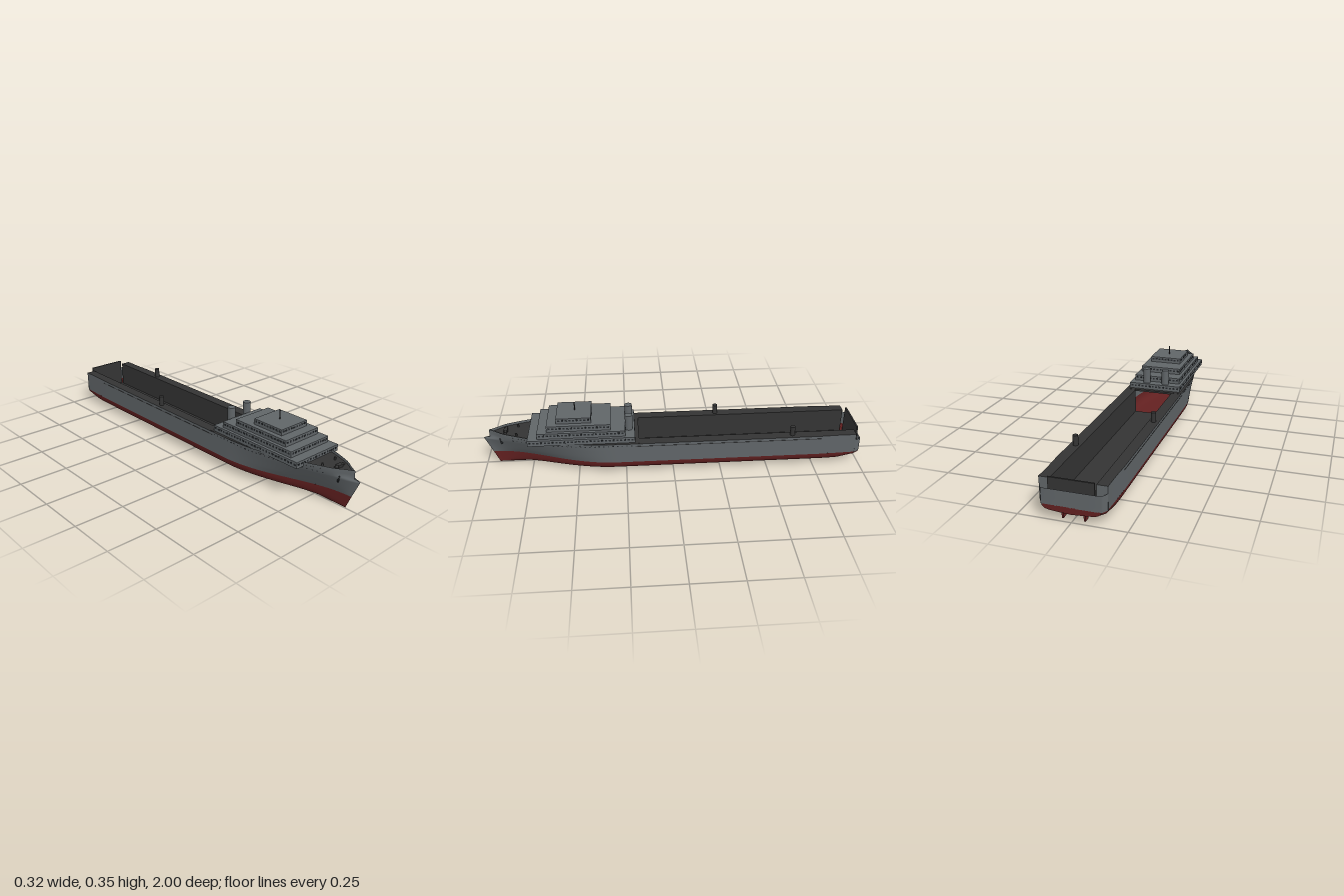
import * as THREE from 'three';
import { mergeGeometries } from 'three/addons/utils/BufferGeometryUtils.js';

const mat = (name, color, side = THREE.FrontSide) => {
  const m = new THREE.MeshStandardMaterial({ color, side });
  m.name = name;
  return m;
};
const smooth = (a, b, x) => THREE.MathUtils.smoothstep(x, a, b);
const lerp = THREE.MathUtils.lerp;

// Hull form: half breadths, sheer line and raked stem
const deckHalf = z => z < -0.78 ? 0.156 : z < 0.4 ? 0.16 : 0.16 * (1 - Math.pow((z - 0.4) / 0.6, 1.85));
const waterHalf = z => (z < -0.8 ? lerp(0.16, 0.152, (-0.8 - z) / 0.2) : 0.16) * (1 - smooth(0.3, 1, z));
const sheer = z => 0.18 + 0.025 * smooth(0.22, 0.92, z);
const stemShift = (y, z) => {
  const rake = y < 0.07 ? lerp(-0.07, -0.04, y / 0.07) : Math.min(0, lerp(-0.04, 0, (y - 0.07) / 0.09));
  return rake * smooth(0.5, 1, z) - (y > 0.162 ? 0.032 * smooth(0.87, 0.99, z) : 0);
};
const sideHalf = (z, y) => lerp(waterHalf(z), deckHalf(z), Math.pow(Math.min(1, (y - 0.07) / 0.115), 0.8));

// Grid surface through rows of points
function loft(rows) {
  const n = rows[0].length, pos = [], idx = [];
  rows.forEach(r => r.forEach(p => pos.push(...p)));
  for (let i = 0; i < rows.length - 1; i++) {
    for (let j = 0; j < n - 1; j++) {
      const a = i * n + j, b = a + n;
      idx.push(a, a + 1, b, b, a + 1, b + 1);
    }
  }
  const g = new THREE.BufferGeometry();
  g.setAttribute('position', new THREE.Float32BufferAttribute(pos, 3));
  g.setIndex(idx);
  g.computeVertexNormals();
  return g;
}
const range = (a, b, n) => Array.from({ length: n + 1 }, (_, i) => lerp(a, b, i / n));

export function createModel() {
  const ship = new THREE.Group();
  ship.name = 'dockShip';
  const grey = mat('hull grey', 0x606568, THREE.DoubleSide);
  const red = mat('bottom red', 0x622020, THREE.DoubleSide);
  const dark = mat('deck grey', 0x343434, THREE.DoubleSide);
  const house = mat('house grey', 0x606568);
  const glass = mat('window dark', 0x282b2e);

  const add = (name, geo, material, x = 0, y = 0, z = 0) => {
    const m = new THREE.Mesh(geo, material);
    m.name = name;
    m.position.set(x, y, z);
    ship.add(m);
    return m;
  };
  const box = (name, m, w, h, d, x, y, z) => add(name, new THREE.BoxGeometry(w, h, d), m, x, y, z);
  const tube = (name, m, r, y0, y1, x, z) =>
    add(name, new THREE.CylinderGeometry(r, r, y1 - y0, 20), m, x, (y0 + y1) / 2, z);

  // Red bottom: shallow V with rounded bilge, keel rising at the stern
  const section = range(-Math.PI / 2, Math.PI / 2, 28).map(a => {
    const f = Math.sin(a);
    return [f, 0.004 + 0.018 * Math.abs(f) + 0.048 * (1 - Math.sqrt(Math.max(0, 1 - f ** 8)))];
  });
  const bottomRow = z => section.map(([f, y]) => {
    const rise = 0.036 * smooth(0.86, 1, -z) * (1 - y / 0.07);
    const taper = z < -0.97 ? 1 - 0.12 * (-0.97 - z) / 0.03 : 1;
    return [f * waterHalf(z) * taper, y + rise, z + stemShift(y, z)];
  });
  const stations = [...range(-1, -0.85, 10), ...range(-0.8, 0.2, 10), ...range(0.23, 1, 34)];
  add('bottom', loft(stations.map(bottomRow)), red);
  add('transomBottom', loft([bottomRow(-1), bottomRow(-1).map(([x, , z]) => [x, 0.07, z])]), red);

  // Grey topsides with a small ledge at the stem
  const levels = [0, 0.15, 0.3, 0.45, 0.6, 0.667, 0.69, 0.85, 1];
  const sideStations = [...range(-0.97, 0.2, 12), ...range(0.23, 1, 40)];
  for (const s of [-1, 1]) {
    const side = s < 0 ? 'right' : 'left';
    add(side + 'Topside', loft(sideStations.map(z => levels.map(v => {
      const y = lerp(0.07, sheer(z), v);
      return [s * sideHalf(z, y), y, z + stemShift(y, z)];
    }))), grey);

    // Dock wall: top, inner face and stern end
    add(side + 'WallDeck', loft(range(-0.97, 0.2, 12).map(z =>
      [[s * 0.105, 0.18, z], [s * deckHalf(z), 0.18, z]])), dark);
    add(side + 'DockWall', loft([-0.97, 0.18].map(z =>
      [[s * 0.105, 0.045, z], [s * 0.105, 0.18, z]])), dark);
    add(side + 'WallEnd', loft([0.07, 0.18].map(y =>
      [[s * 0.105, y, -0.97], [s * 0.155, y, -0.97]])), grey);

    // Fender line along the side
    box(side + 'FenderLine', dark, 0.003, 0.002, 0.98, s * 0.16, 0.165, -0.29);

    // Anchor and rudder
    const anchor = new THREE.Group();
    anchor.name = side + 'Anchor';
    const shank = new THREE.Mesh(new THREE.BoxGeometry(0.004, 0.032, 0.006), glass);
    const fluke = new THREE.Mesh(new THREE.BoxGeometry(0.005, 0.014, 0.01), glass);
    fluke.position.y = -0.009;
    anchor.add(shank, fluke);
    anchor.position.set(s * 0.033, 0.152, 0.906);
    anchor.rotation.set(0.25, s * 0.5, 0);
    ship.add(anchor);
    box(side + 'Rudder', red, 0.008, 0.045, 0.03, s * 0.05, 0.0225, -0.96);
  }

  // Rounded stern shell, open at the top
  const half = z => 0.154 * (1 - 0.12 * (-0.97 - z) / 0.03);
  const sternPath = [
    ...range(-0.97, -1, 4).map(z => [-half(z), z]), [-0.06, -1], [0, -1], [0.06, -1],
    ...range(-1, -0.97, 4).map(z => [half(z), z])];
  add('sternShell', loft([0.068, 0.1, 0.125, 0.145].map(y => sternPath.map(([x, z]) => [x, y, z]))), grey);

  // Dock floor, deck at its head, and stern gate
  box('dockFloor', dark, 0.21, 0.006, 1.165, 0, 0.045, -0.4025);
  box('dockHead', dark, 0.31, 0.01, 0.03, 0, 0.176, 0.194);
  box('sternGate', dark, 0.21, 0.153, 0.008, 0, 0.1185, -0.988);

  // Fore deck inside the bulwark
  add('foreDeck', loft(range(0.2, 1, 34).map(z => {
    const y = sheer(z) - 0.014 * smooth(0.2, 0.6, z), w = sideHalf(z, y), zz = z + stemShift(y, z);
    return [[-w, y, zz], [w, y, zz]];
  })), dark);
  box('windlass', dark, 0.03, 0.014, 0.02, 0, 0.198, 0.88);
  for (const s of [-1, 1]) {
    const drum = tube(s < 0 ? 'rightWinch' : 'leftWinch', dark, 0.007, 0.188, 0.206, s * 0.022, 0.88);
    drum.rotation.z = Math.PI / 2;
    tube(s < 0 ? 'rightBollard' : 'leftBollard', dark, 0.005, 0.185, 0.203, s * 0.045, 0.82);
  }

  // Stepped deckhouse: half width, bottom, top, back, front
  const panes = [];
  const pane = (w, h, d, x, y, z) => panes.push(new THREE.BoxGeometry(w, h, d).translate(x, y, z));
  const tiers = [
    [0.145, 0.18, 0.212, 0.2, 0.755], [0.13, 0.212, 0.243, 0.25, 0.705],
    [0.113, 0.243, 0.275, 0.325, 0.655], [0.088, 0.275, 0.305, 0.425, 0.605]];
  tiers.forEach(([w, y0, y1, z0, z1], i) => {
    box('deckhouseTier' + (i + 1), house, w * 2, y1 - y0, z1 - z0, 0, (y0 + y1) / 2, (z0 + z1) / 2);
    const y = y0 + 0.018, nx = Math.round(w * 2 / 0.02) - 1, nz = Math.round((z1 - z0) / 0.02) - 1;
    for (const x of range(-w + 0.014, w - 0.014, nx)) {
      pane(0.011, 0.009, 0.002, x, y, z1);
      pane(0.011, 0.009, 0.002, x, y, z0);
    }
    for (const z of range(z0 + 0.014, z1 - 0.014, nz)) {
      for (const s of [-1, 1]) pane(0.002, 0.009, 0.011, s * w, y, z);
    }
  });
  add('windows', mergeGeometries(panes), glass);

  // Ports along the forward topsides
  const ports = [];
  for (const z of range(0.22, 0.84, 26)) {
    for (const s of [-1, 1]) {
      const y = 0.17, slope = (sideHalf(z + 0.01, y) - sideHalf(z - 0.01, y)) / 0.02;
      ports.push(new THREE.BoxGeometry(0.0012, 0.005, 0.007)
        .rotateY(s * Math.atan(slope)).translate(s * sideHalf(z, y), y, z + stemShift(y, z)));
    }
  }
  add('hullPorts', mergeGeometries(ports), glass);

  // Mast, funnels and wall vents
  tube('mast', dark, 0.0028, 0.3, 0.352, 0, 0.51);
  for (const s of [-1, 1]) {
    tube(s < 0 ? 'rightFunnel' : 'leftFunnel', house, 0.02, 0.2, 0.295, s * 0.054, 0.23);
  }
  tube('rightVent', dark, 0.013, 0.175, 0.23, -0.13, -0.25);
  tube('leftVent', dark, 0.013, 0.175, 0.23, 0.13, -0.63);

  return ship;
}
